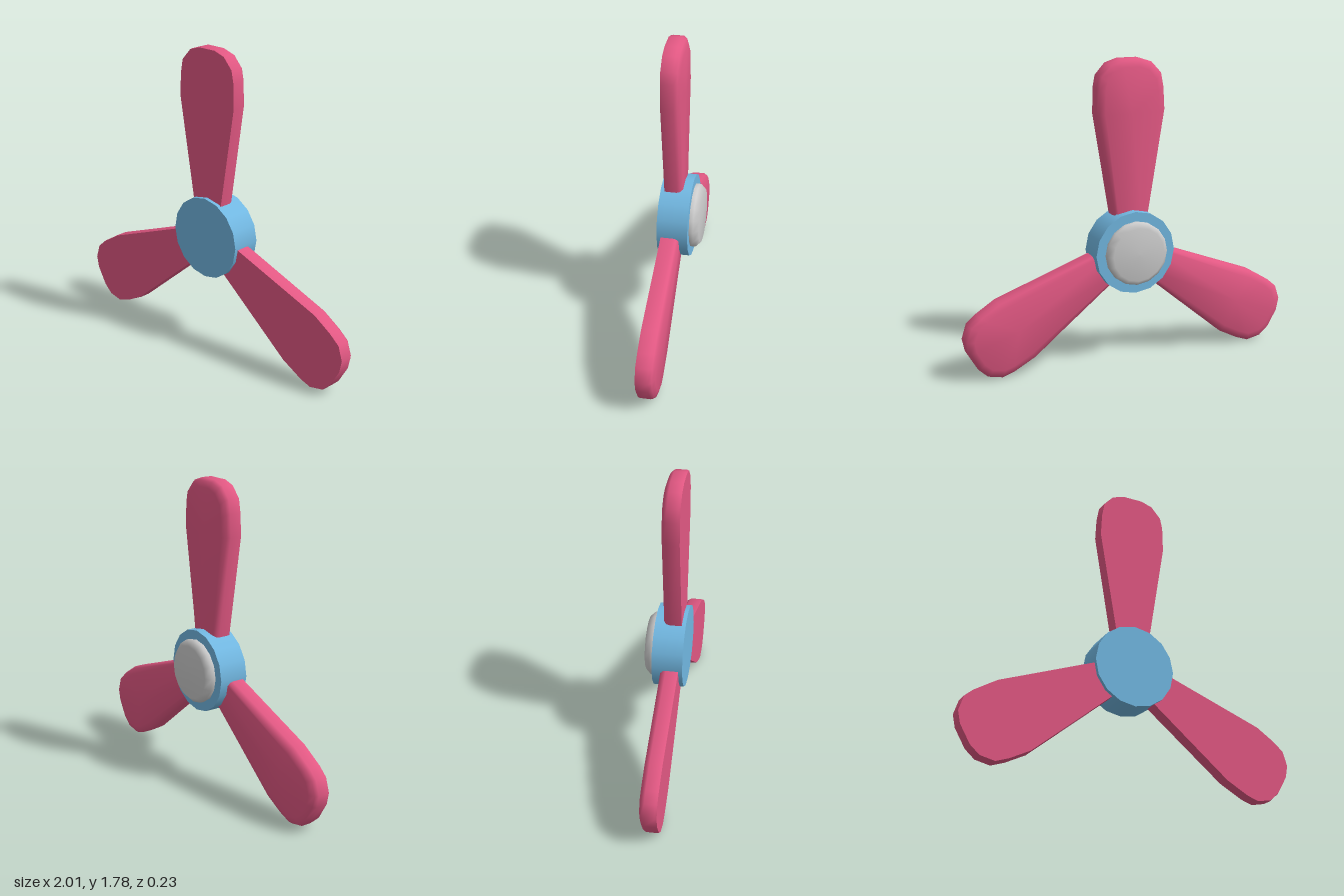
import * as THREE from 'three';
import { toCreasedNormals } from 'three/addons/utils/BufferGeometryUtils.js';

const HUB_Y = 0.67;

// Blade outline, counter-clockwise seen from the front, measured from the hub axis
const OUTLINE = [
  [-0.085, 0.08], [0.085, 0.08], [0.205, 0.8], [0.202, 0.95], [0.188, 1.02], [0.13, 1.085],
  [0.06, 1.108], [-0.06, 1.108], [-0.13, 1.085], [-0.19, 1.02], [-0.205, 0.94], [-0.212, 0.81],
];

// Cross-sections from the flat front to the rounded back: [z, inset]
const SECTIONS = [[0.092, 0.003], [0.08, 0], [0.02, 0], [0.001, 0.012], [-0.012, 0.045]];

function bladeGeometry() {
  const n = OUTLINE.length;
  const positions = [];
  const index = [];
  for (const [z, inset] of SECTIONS) {
    for (const [x, y] of OUTLINE) {
      const tip = y > 0.8 ? 0.8 + (y - 0.8) * (1 - inset / 0.3) : y;
      positions.push(x * (1 - inset / 0.21), tip, z);
    }
  }
  const last = (SECTIONS.length - 1) * n;
  const front = SECTIONS.length * n;
  const back = front + 1;
  positions.push(0, 0.8, SECTIONS[0][0], 0, 0.8, -0.014);
  for (let i = 0; i < n; i++) {
    const j = (i + 1) % n;
    index.push(front, i, j, back, last + j, last + i);
    for (let r = 0; r < last; r += n) {
      index.push(r + i, r + n + i, r + n + j, r + i, r + n + j, r + j);
    }
  }
  const geometry = new THREE.BufferGeometry();
  geometry.setAttribute('position', new THREE.Float32BufferAttribute(positions, 3));
  geometry.setIndex(index);
  return toCreasedNormals(geometry, 0.95);
}

export function createModel() {
  const model = new THREE.Group();
  model.name = 'propeller';
  const add = (name, geometry, color) => {
    const mesh = new THREE.Mesh(geometry, new THREE.MeshStandardMaterial({ color }));
    mesh.name = name;
    mesh.position.y = HUB_Y;
    model.add(mesh);
    return mesh;
  };

  // Hub drum
  const hub = new THREE.CylinderGeometry(0.242, 0.242, 0.177, 16);
  hub.rotateX(Math.PI / 2).translate(0, 0, 0.0265);
  add('hub', hub, 0x72b8e2);

  // Rounded cap on the back of the hub
  const profile = [[0.187, 0], [0.187, 0.024], [0.157, 0.054], [0, 0.057]];
  const cap = new THREE.LatheGeometry(profile.map(([x, y]) => new THREE.Vector2(x, y)), 16);
  cap.rotateX(-Math.PI / 2).translate(0, 0, -0.062);
  add('backCap', cap, 0xcccccc);

  // Three blades
  const blade = bladeGeometry();
  for (let i = 0; i < 3; i++) {
    add(`blade${i + 1}`, blade, 0xe25883).rotation.z = (-i * 2 * Math.PI) / 3;
  }
  return model;
}
